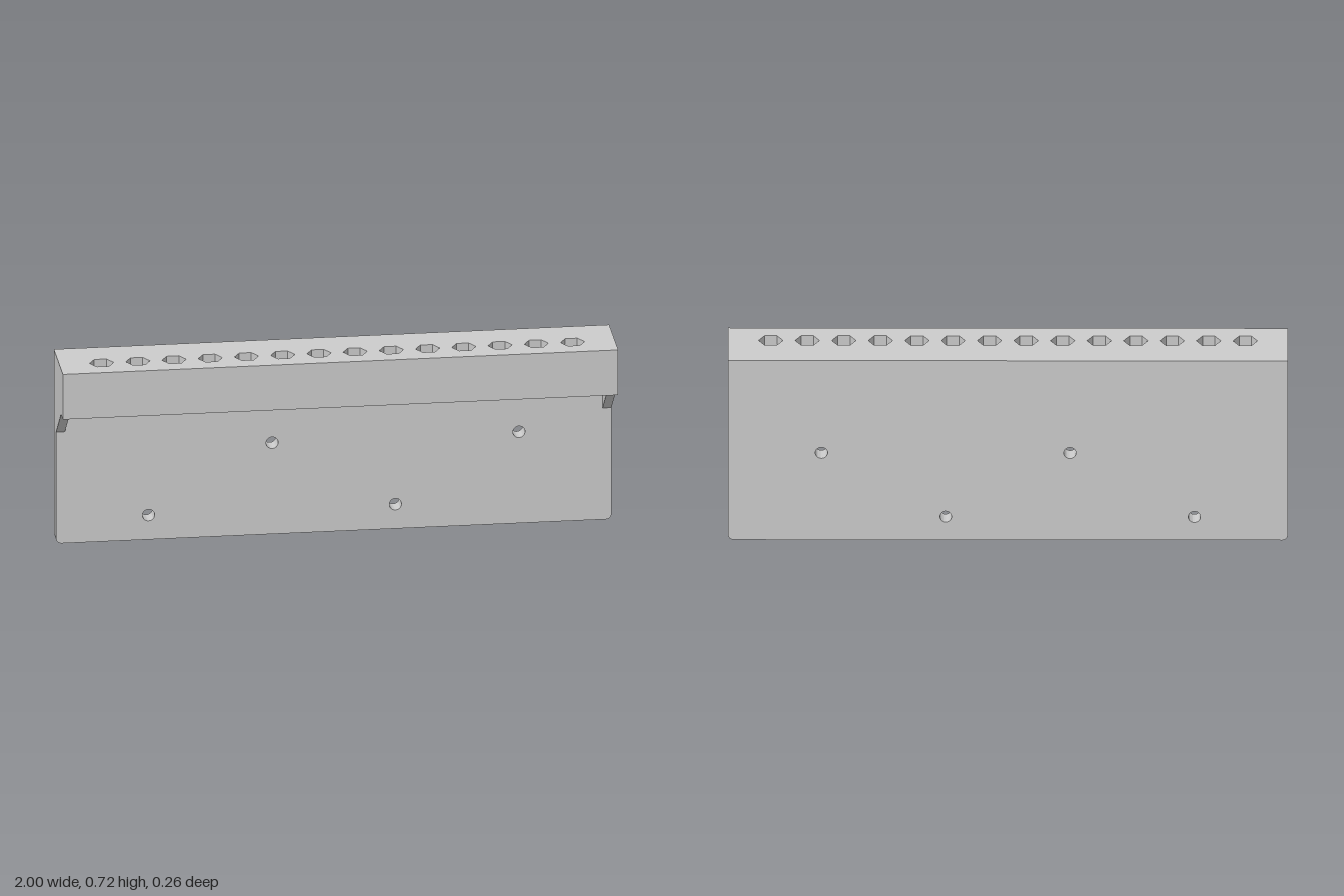
import * as THREE from 'three';
import { toCreasedNormals } from 'three/addons/utils/BufferGeometryUtils.js';

const BACK = -0.13, FRONT = 0.13, PLATE_FRONT = -0.065;
const LEDGE = 0.545, TOP = 0.717, POCKET_FLOOR = 0.585;

const material = new THREE.MeshStandardMaterial({ color: 0xcccccc });

function extrude(shape, depth) {
  return new THREE.ExtrudeGeometry(shape, { depth, bevelEnabled: false, curveSegments: 16 });
}

function addMesh(group, name, geometry) {
  const mesh = new THREE.Mesh(toCreasedNormals(geometry, 0.5), material);
  mesh.name = name;
  group.add(mesh);
}

// Horizontal slab of the holder block between two heights
function blockSlab(y0, y1, holes) {
  const shape = new THREE.Shape([
    new THREE.Vector2(-1, -FRONT), new THREE.Vector2(1, -FRONT),
    new THREE.Vector2(1, -BACK), new THREE.Vector2(-1, -BACK),
  ]);
  shape.holes.push(...holes);
  return extrude(shape, y1 - y0).rotateX(-Math.PI / 2).translate(0, y0, 0);
}

export function createModel() {
  const group = new THREE.Group();
  group.name = 'wallBitHolder';

  // Back plate with rounded lower corners and four screw holes
  const r = 0.02;
  const plate = new THREE.Shape();
  plate.moveTo(-1 + r, 0);
  plate.lineTo(1 - r, 0);
  plate.absarc(1 - r, r, r, -Math.PI / 2, 0);
  plate.lineTo(1, LEDGE);
  plate.lineTo(-1, LEDGE);
  plate.lineTo(-1, r);
  plate.absarc(-1 + r, r, r, Math.PI, Math.PI * 1.5);
  for (const [x, y] of [[-0.667, 0.093], [-0.222, 0.348], [0.222, 0.093], [0.667, 0.348]]) {
    plate.holes.push(new THREE.Path().absarc(x, y, 0.022, 0, Math.PI * 2, true));
  }
  addMesh(group, 'backPlate', extrude(plate, PLATE_FRONT - BACK).translate(0, 0, BACK));

  // Holder block: solid floor below a row of hexagonal pockets
  const pockets = [];
  const count = 14, span = 1.696, radius = 0.0435;
  for (let i = 0; i < count; i++) {
    const cx = -span / 2 + (span * i) / (count - 1);
    const corners = [];
    for (let k = 0; k < 6; k++) {
      const a = (-k * Math.PI) / 3;
      corners.push(new THREE.Vector2(cx + radius * Math.cos(a), -0.03 + radius * Math.sin(a)));
    }
    pockets.push(new THREE.Path(corners));
  }
  addMesh(group, 'blockFloor', blockSlab(LEDGE, POCKET_FLOOR, []));
  addMesh(group, 'pocketBlock', blockSlab(POCKET_FLOOR, TOP, pockets));

  // Triangular gussets under the block at both ends
  const gusset = new THREE.Shape([
    new THREE.Vector2(PLATE_FRONT, 0.425),
    new THREE.Vector2(0.076, LEDGE),
    new THREE.Vector2(PLATE_FRONT, LEDGE),
  ]);
  const thickness = 0.032;
  for (const [name, x] of [['leftGusset', 1], ['rightGusset', -1 + thickness]]) {
    addMesh(group, name, extrude(gusset, thickness).rotateY(-Math.PI / 2).translate(x, 0, 0));
  }

  return group;
}
